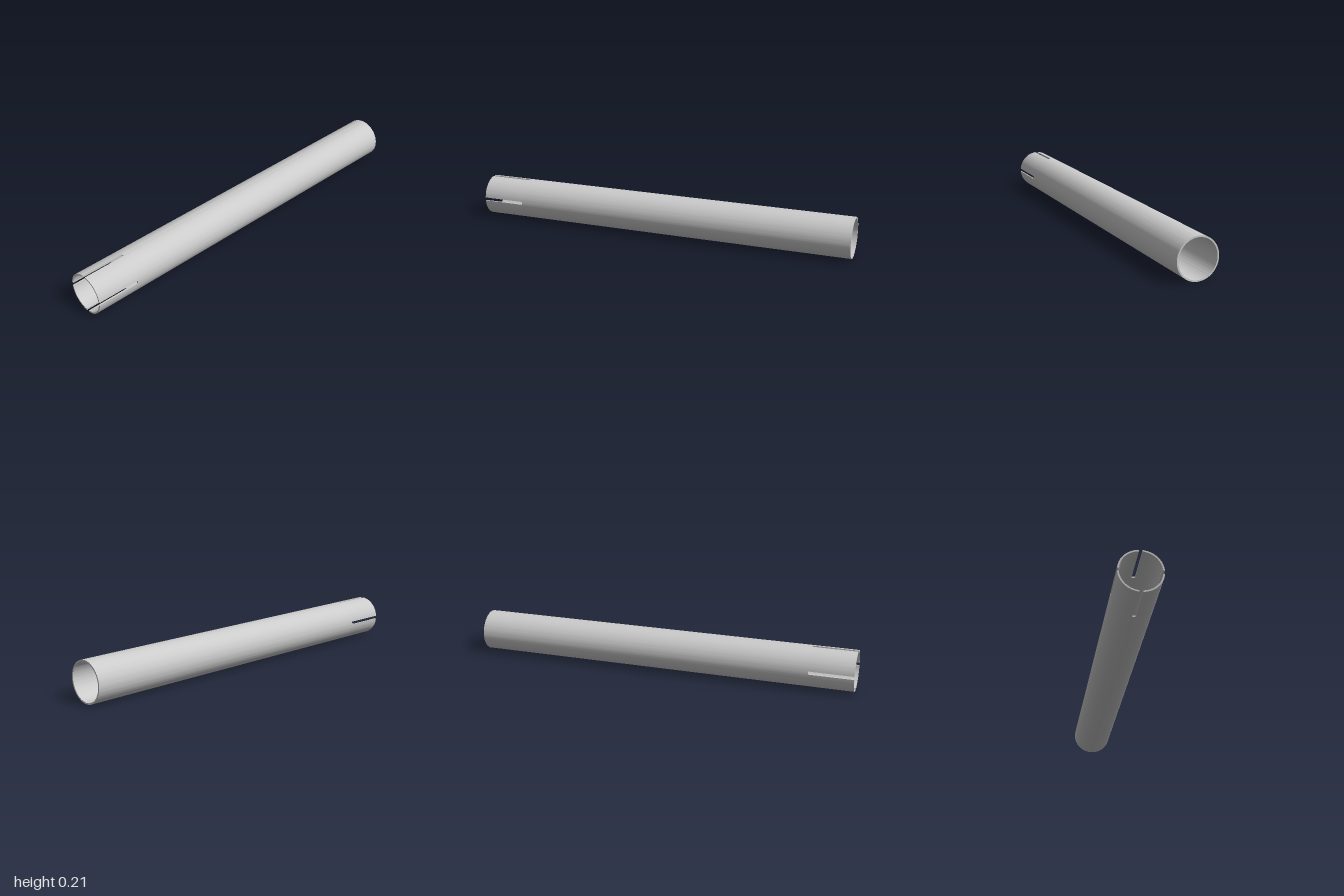
import * as THREE from 'three';
import { toCreasedNormals } from 'three/addons/utils/BufferGeometryUtils.js';

const OUTER = 0.104, INNER = 0.0965, BACK = -1, SLOT_END = 0.775, FRONT = 1;
const SLOT_HALF = 0.008;   // half the slot width
const ARC_STEPS = 24, SLOT_STEPS = 2;

// Point on the tube wall; the axis runs along z at height OUTER
const at = (r, a, z) => [r * Math.cos(a), OUTER + r * Math.sin(a), z];

// Angles of one step of an arc [outer start, outer end, inner start, inner end].
// Slot edges are parallel, so they lie at a different angle on each radius.
function stepAngles(quarter, isSlot, i, steps) {
  const angle = (r, t) => {
    const d = Math.asin(SLOT_HALF / r);
    const from = isSlot ? -d : d, to = isSlot ? d : Math.PI / 2 - d;
    return quarter * Math.PI / 2 + from + (to - from) * t;
  };
  return [angle(OUTER, i / steps), angle(OUTER, (i + 1) / steps),
    angle(INNER, i / steps), angle(INNER, (i + 1) / steps)];
}

function createModel() {
  const material = new THREE.MeshStandardMaterial({ color: 0xcccccc });
  const group = new THREE.Group();
  group.name = 'slottedTube';

  const addPart = (name, build) => {
    const positions = [];
    build((a, b, c, d) => positions.push(...a, ...b, ...c, ...a, ...c, ...d));
    const geometry = new THREE.BufferGeometry();
    geometry.setAttribute('position', new THREE.Float32BufferAttribute(positions, 3));
    const mesh = new THREE.Mesh(toCreasedNormals(geometry, 0.5), material);
    mesh.name = name;
    group.add(mesh);
  };

  // Outer and inner skin of one step
  const skins = (quad, [o0, o1, i0, i1], z0, z1) => {
    quad(at(OUTER, o0, z0), at(OUTER, o1, z0), at(OUTER, o1, z1), at(OUTER, o0, z1));
    quad(at(INNER, i0, z1), at(INNER, i1, z1), at(INNER, i1, z0), at(INNER, i0, z0));
  };
  // Rim faces looking forward and backward
  const frontRim = (quad, [o0, o1, i0, i1], z) =>
    quad(at(INNER, i0, z), at(OUTER, o0, z), at(OUTER, o1, z), at(INNER, i1, z));
  const backRim = (quad, [o0, o1, i0, i1], z) =>
    quad(at(INNER, i1, z), at(OUTER, o1, z), at(OUTER, o0, z), at(INNER, i0, z));

  // Unbroken sleeve, with the slot floors on its front end
  addPart('sleeve', (quad) => {
    for (let q = 0; q < 4; q++) {
      for (const isSlot of [true, false]) {
        const steps = isSlot ? SLOT_STEPS : ARC_STEPS;
        for (let i = 0; i < steps; i++) {
          const angles = stepAngles(q, isSlot, i, steps);
          skins(quad, angles, BACK, SLOT_END);
          backRim(quad, angles, BACK);
          if (isSlot) frontRim(quad, angles, SLOT_END);
        }
      }
    }
  });

  // Four fingers between the slots
  for (let q = 0; q < 4; q++) {
    addPart(`finger${q + 1}`, (quad) => {
      for (let i = 0; i < ARC_STEPS; i++) {
        const angles = stepAngles(q, false, i, ARC_STEPS);
        skins(quad, angles, SLOT_END, FRONT);
        frontRim(quad, angles, FRONT);
      }
      // Slot walls on both sides of the finger
      const [o0, , i0] = stepAngles(q, false, 0, ARC_STEPS);
      const [, o1, , i1] = stepAngles(q, false, ARC_STEPS - 1, ARC_STEPS);
      quad(at(INNER, i0, SLOT_END), at(OUTER, o0, SLOT_END), at(OUTER, o0, FRONT), at(INNER, i0, FRONT));
      quad(at(INNER, i1, FRONT), at(OUTER, o1, FRONT), at(OUTER, o1, SLOT_END), at(INNER, i1, SLOT_END));
    });
  }
  return group;
}

export { createModel };
